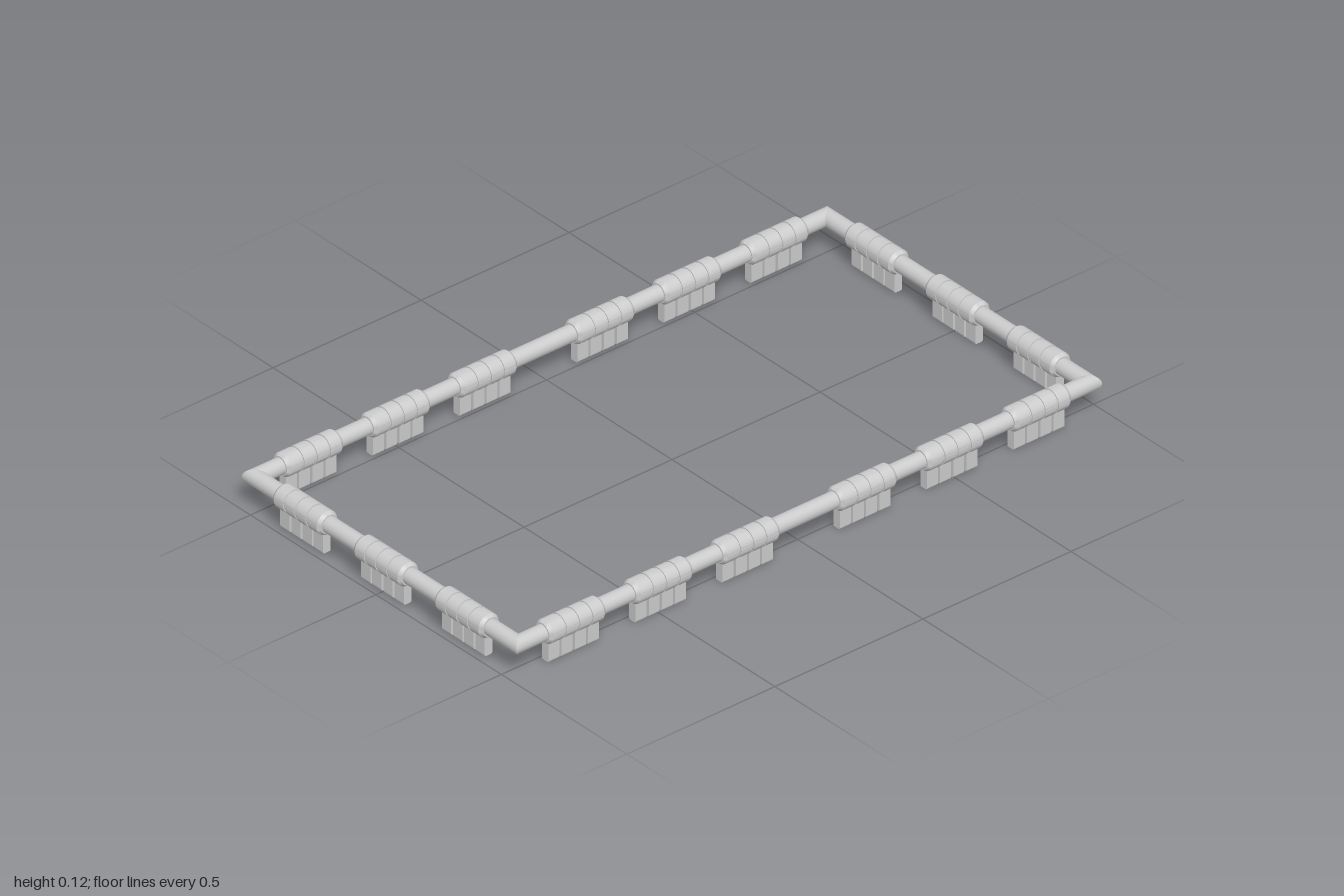
import * as THREE from 'three';
import { toCreasedNormals } from 'three/addons/utils/BufferGeometryUtils.js';

const HALF_X = 0.523, HALF_Z = 0.965;   // rail centre lines
const AXIS_Y = 0.09, PIPE_R = 0.024, RING_R = 0.035;
const PITCH = 0.0445, LEG_W = 0.037, SIDES = 24;

const material = new THREE.MeshStandardMaterial({ color: 0xcccccc });

// Pipe along x whose ends are mitred at 45 degrees; +z is the outer side
function pipeGeometry(halfLength) {
  const g = new THREE.CylinderGeometry(PIPE_R, PIPE_R, 2 * halfLength, SIDES, 1, true);
  g.rotateZ(Math.PI / 2);
  const p = g.attributes.position;
  for (let i = 0; i < p.count; i++) p.setX(i, p.getX(i) + Math.sign(p.getX(i)) * p.getZ(i));
  return g;
}

// Sleeve along x: bevelled ends and four raised bands
function sleeveGeometry() {
  const bandHalf = LEG_W / 2, grooveR = RING_R - 0.003;
  const points = [[0.02, -0.095], [0.028, -0.095]];
  for (let i = 0; i < 4; i++) {
    const c = (i - 1.5) * PITCH;
    if (i > 0) points.push([grooveR, c - bandHalf]);
    points.push([RING_R, c - bandHalf], [RING_R, c + bandHalf]);
    if (i < 3) points.push([grooveR, c + bandHalf]);
  }
  points.push([0.028, 0.095], [0.02, 0.095]);
  const lathe = new THREE.LatheGeometry(points.map(([r, y]) => new THREE.Vector2(r, y)), SIDES);
  return toCreasedNormals(lathe.rotateZ(Math.PI / 2), 0.5);
}

// Flat leg with rounded lower edges, running up into its band
function legGeometry() {
  const w = 0.013, r = 0.006, bottom = -AXIS_Y, top = -0.02;
  const s = new THREE.Shape();
  s.moveTo(-w, top);
  s.lineTo(-w, bottom + r);
  s.quadraticCurveTo(-w, bottom, -w + r, bottom);
  s.lineTo(w - r, bottom);
  s.quadraticCurveTo(w, bottom, w, bottom + r);
  s.lineTo(w, top);
  s.closePath();
  const g = new THREE.ExtrudeGeometry(s, { depth: LEG_W, bevelEnabled: false, curveSegments: 4 });
  return g.translate(0, 0, -LEG_W / 2).rotateY(Math.PI / 2);
}

export function createModel() {
  const model = new THREE.Group();
  model.name = 'railFrame';
  const sleeve = sleeveGeometry(), leg = legGeometry();

  const add = (parent, geometry, name, x = 0) => {
    const mesh = new THREE.Mesh(geometry, material);
    mesh.name = name;
    mesh.position.x = x;
    parent.add(mesh);
  };

  // Sleeve with its four legs
  const makeClamp = (x) => {
    const clamp = new THREE.Group();
    clamp.name = 'clamp';
    clamp.position.x = x;
    add(clamp, sleeve, 'sleeve');
    for (let i = 0; i < 4; i++) add(clamp, leg, 'leg', (i - 1.5) * PITCH);
    return clamp;
  };

  // One straight rail with its clamps, turned to its side of the frame
  const addRail = (name, halfLength, distance, angle, stations) => {
    const rail = new THREE.Group();
    rail.name = name;
    rail.rotation.y = angle;
    rail.position.set(Math.sin(angle) * distance, AXIS_Y, Math.cos(angle) * distance);
    add(rail, pipeGeometry(halfLength), 'pipe');
    stations.forEach((x) => rail.add(makeClamp(x)));
    model.add(rail);
  };

  const shortStations = [-0.322, 0, 0.322];
  const longStations = [-0.786, -0.492, -0.198, 0.198, 0.492, 0.786];
  addRail('frontRail', HALF_X, HALF_Z, 0, shortStations);
  addRail('leftRail', HALF_Z, HALF_X, Math.PI / 2, longStations);
  addRail('backRail', HALF_X, HALF_Z, Math.PI, shortStations);
  addRail('rightRail', HALF_Z, HALF_X, -Math.PI / 2, longStations);
  return model;
}
